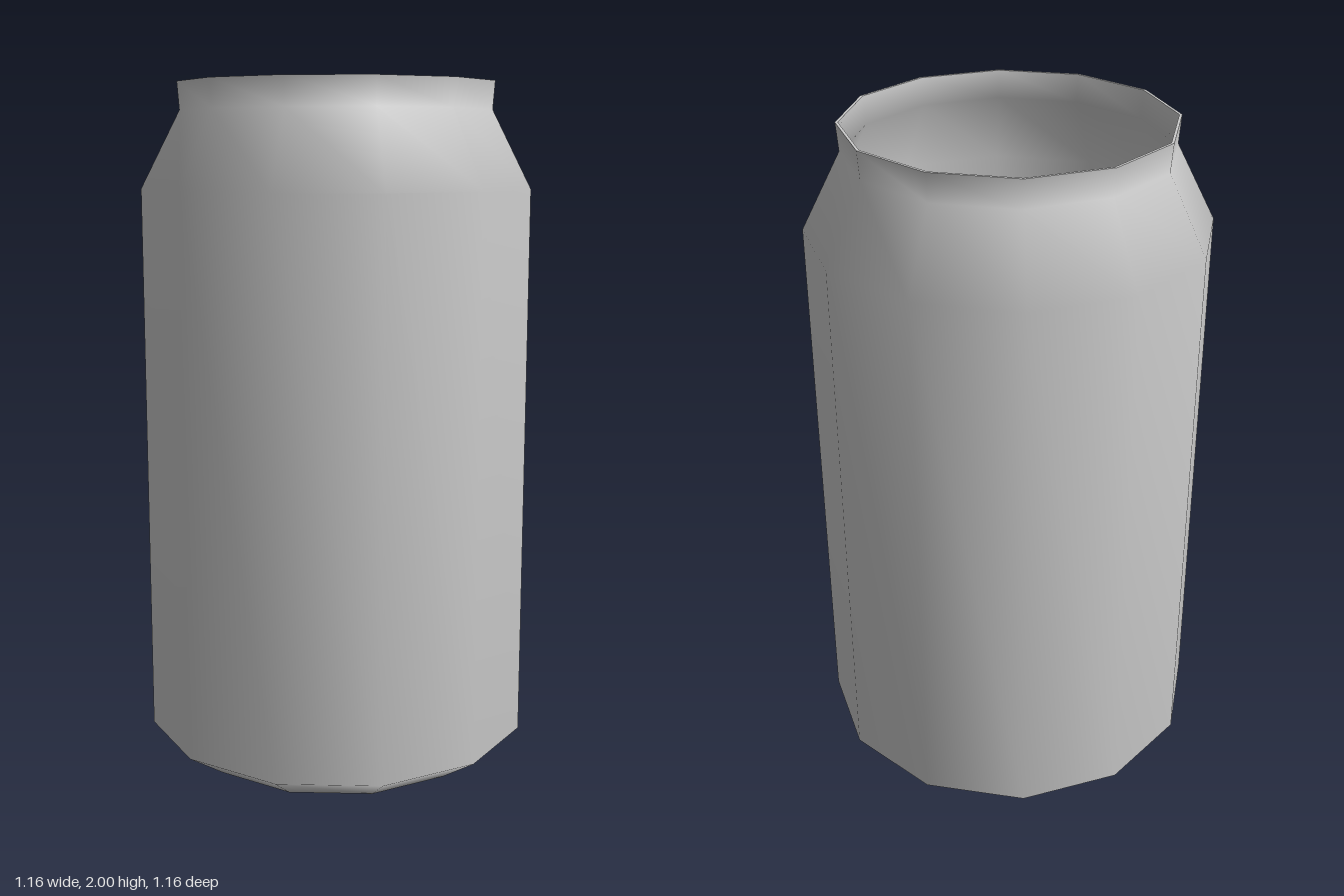
import * as THREE from 'three';

const SIDES = 12;

// Revolve a short list of [radius, height] points into a smooth 12-sided surface
function revolve(name, profile, material) {
  const points = profile.map(([r, y]) => new THREE.Vector2(r, y));
  const mesh = new THREE.Mesh(new THREE.LatheGeometry(points, SIDES), material);
  mesh.name = name;
  return mesh;
}

export function createModel() {
  const can = new THREE.Group();
  can.name = 'openCan';
  const metal = new THREE.MeshStandardMaterial({ color: 0xcccccc });
  const wall = 0.008;

  // Base, bevel, body, shoulder and neck, from the bottom centre up
  const outer = [[0, 0], [0.46, 0], [0.578, 0.08], [0.573, 1.7], [0.459, 1.92], [0.465, 2]];

  // Same profile set in by the wall thickness, from the rim down to the floor
  const inner = outer
    .map(([r, y]) => [Math.max(0, r - wall), y < 0.1 ? y + wall : y])
    .reverse();

  can.add(revolve('outerShell', outer, metal));
  can.add(revolve('innerShell', inner, metal));

  // Narrow flat lip joining the two shells
  can.add(revolve('rim', [[0.465, 2], [0.465 - wall, 2]], metal));
  return can;
}
